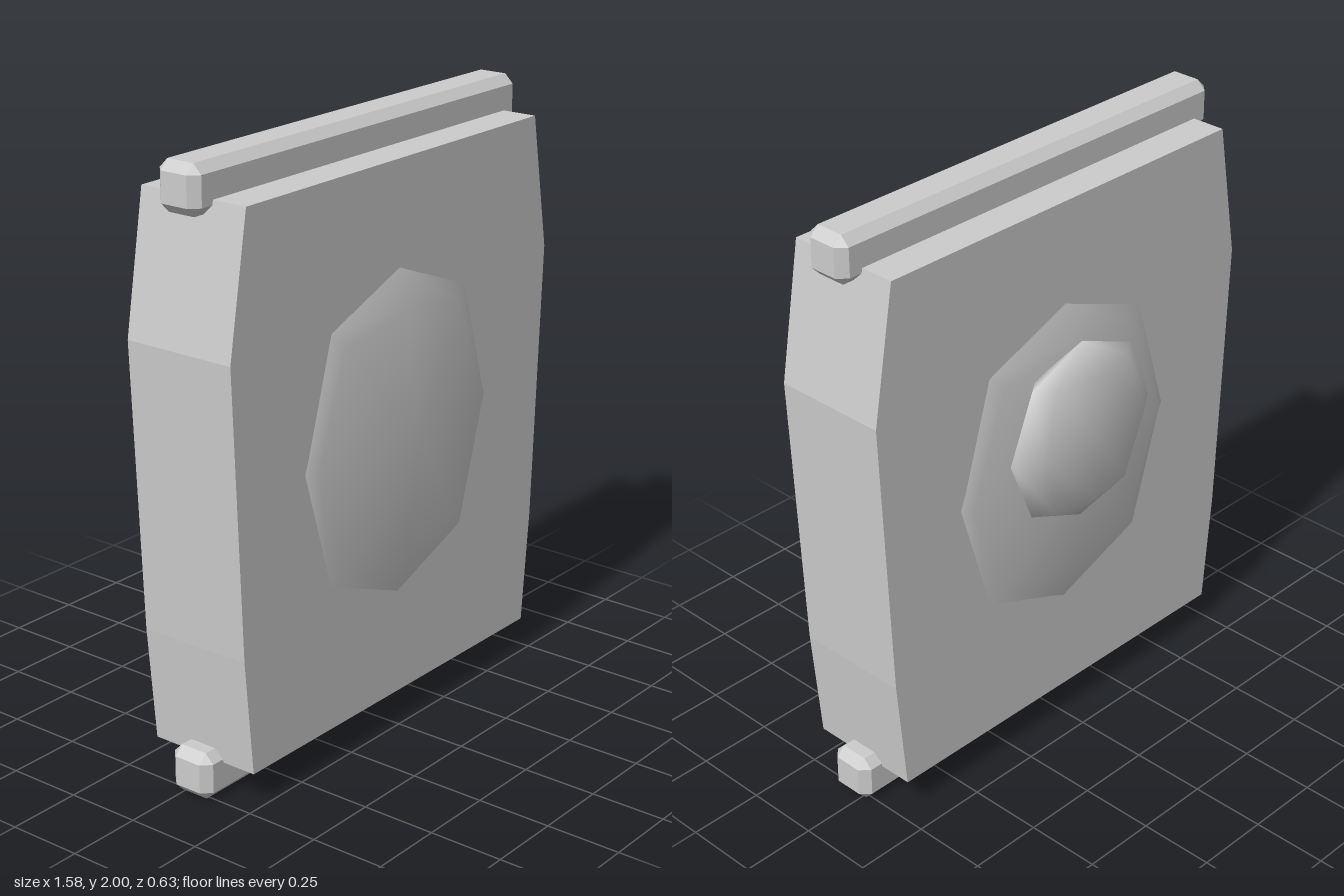
import * as THREE from 'three';
import { ConvexGeometry } from 'three/addons/geometries/ConvexGeometry.js';

// Box with every edge and corner cut off by c
function chamferedBox(w, h, d, c) {
  const pts = [];
  for (const x of [-w / 2, w / 2]) for (const y of [-h / 2, h / 2]) for (const z of [-d / 2, d / 2]) {
    const sx = Math.sign(x) * c, sy = Math.sign(y) * c, sz = Math.sign(z) * c;
    pts.push(new THREE.Vector3(x, y - sy, z - sz), new THREE.Vector3(x - sx, y, z - sz), new THREE.Vector3(x - sx, y - sy, z));
  }
  return new ConvexGeometry(pts);
}

// Shallow eight-sided dome: a peak, a shoulder ring and a rim, shaded smooth
function domeGeometry() {
  const rings = [
    { side: [0.42, 0.26], diagonal: [0.29, 0.36, 0.256], top: [0.42, 0.28] },
    { side: [0.465, 0.236], diagonal: [0.34, 0.415, 0.236], top: [0.545, 0.236] },
  ];
  const pos = [0, 0, 0.315], index = [];
  for (const { side, diagonal, top } of rings) {
    for (let i = 0; i < 8; i++) {
      const sx = Math.sign(Math.round(Math.cos(i * Math.PI / 4) * 10));
      const sy = Math.sign(Math.round(Math.sin(i * Math.PI / 4) * 10));
      if (sy === 0) pos.push(sx * side[0], 0, side[1]);
      else if (sx === 0) pos.push(0, sy * top[0], top[1]);
      else pos.push(sx * diagonal[0], sy * diagonal[1], diagonal[2]);
    }
  }
  for (let i = 0; i < 8; i++) {
    const a = 1 + i, b = 1 + (i + 1) % 8;
    index.push(0, a, b, a, a + 8, b + 8, a, b + 8, b);
  }
  const g = new THREE.BufferGeometry();
  g.setAttribute('position', new THREE.Float32BufferAttribute(pos, 3));
  g.setIndex(index);
  g.computeVertexNormals();
  return g;
}

export function createModel() {
  const model = new THREE.Group();
  const grey = new THREE.MeshStandardMaterial({ color: 0xcccccc });
  grey.name = 'light grey';

  function add(name, geometry, x, y, z) {
    const mesh = new THREE.Mesh(geometry, grey);
    mesh.name = name;
    mesh.position.set(x, y, z);
    model.add(mesh);
    return mesh;
  }

  // Slab with bulging sides
  const half = [[0.715, 0.115], [0.75, 0.5], [0.792, 1.44], [0.715, 1.89]];
  const outline = [...half, ...half.map(([x, y]) => [-x, y]).reverse()];
  const shape = new THREE.Shape(outline.map(([x, y]) => new THREE.Vector2(x, y)));
  add('body', new THREE.ExtrudeGeometry(shape, { depth: 0.395, bevelEnabled: false }), 0, 0, -0.157);

  // Chamfered rails along the top and bottom
  const rail = chamferedBox(1.584, 0.156, 0.156, 0.03);
  add('topRail', rail, 0, 1.922, 0.038);
  add('bottomRail', rail, 0, 0.078, 0.038);

  // Domes on both faces
  const dome = domeGeometry();
  add('frontDome', dome, 0, 1.01, 0);
  add('backDome', dome, 0, 1.01, 0.082).rotation.y = Math.PI;

  // Flattened knob on the back dome
  const knob = new THREE.SphereGeometry(1, 8, 4);
  knob.scale(0.313, 0.313, 0.092);
  add('backKnob', knob, 0, 1.13, -0.225);

  return model;
}
